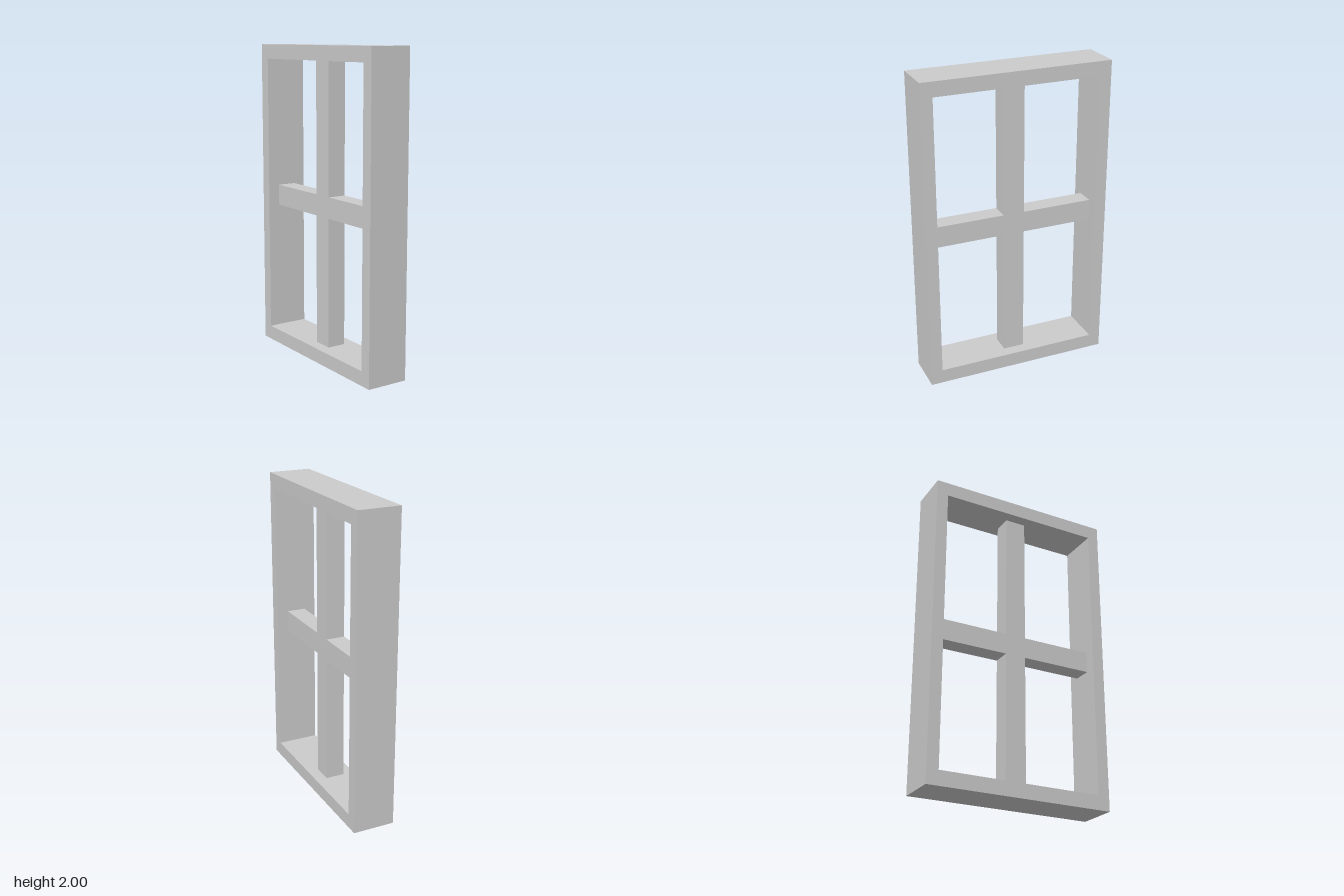
import * as THREE from 'three';

const material = new THREE.MeshStandardMaterial({ color: 0xcccccc, flatShading: true });

// Outer size, opening and bar sizes
const HALF_W = 0.605, HEIGHT = 2, DEPTH = 0.272;
const OPEN_W = 0.53, OPEN_BOTTOM = 0.092, OPEN_TOP = 1.908;
const BAR = 0.068, BAR_DEPTH = 0.122, MID_Y = 1;

const points = (list) => list.map(([x, y]) => new THREE.Vector2(x, y));
const rect = (w, y0, y1) => points([[-w, y0], [w, y0], [w, y1], [-w, y1]]);

// Extrudes an outline drawn in the z-y plane, centred along x
function slab(name, shape, depth) {
  const geometry = new THREE.ExtrudeGeometry(shape, { depth, bevelEnabled: false });
  geometry.translate(0, 0, -depth / 2).rotateY(Math.PI / 2);
  const mesh = new THREE.Mesh(geometry, material);
  mesh.name = name;
  return mesh;
}

export function createModel() {
  const group = new THREE.Group();
  group.name = 'window';

  // Deep outer frame with a rectangular opening
  const frame = new THREE.Shape(rect(HALF_W, 0, HEIGHT));
  frame.holes.push(new THREE.Path(rect(OPEN_W, OPEN_BOTTOM, OPEN_TOP)));
  group.add(slab('frame', frame, DEPTH));

  // Thinner cross of glazing bars, set midway in the frame's depth
  const low = MID_Y - BAR, high = MID_Y + BAR;
  const cross = new THREE.Shape(points([
    [-BAR, OPEN_BOTTOM], [BAR, OPEN_BOTTOM], [BAR, low], [OPEN_W, low],
    [OPEN_W, high], [BAR, high], [BAR, OPEN_TOP], [-BAR, OPEN_TOP],
    [-BAR, high], [-OPEN_W, high], [-OPEN_W, low], [-BAR, low],
  ]));
  group.add(slab('glazingBars', cross, BAR_DEPTH));

  return group;
}
